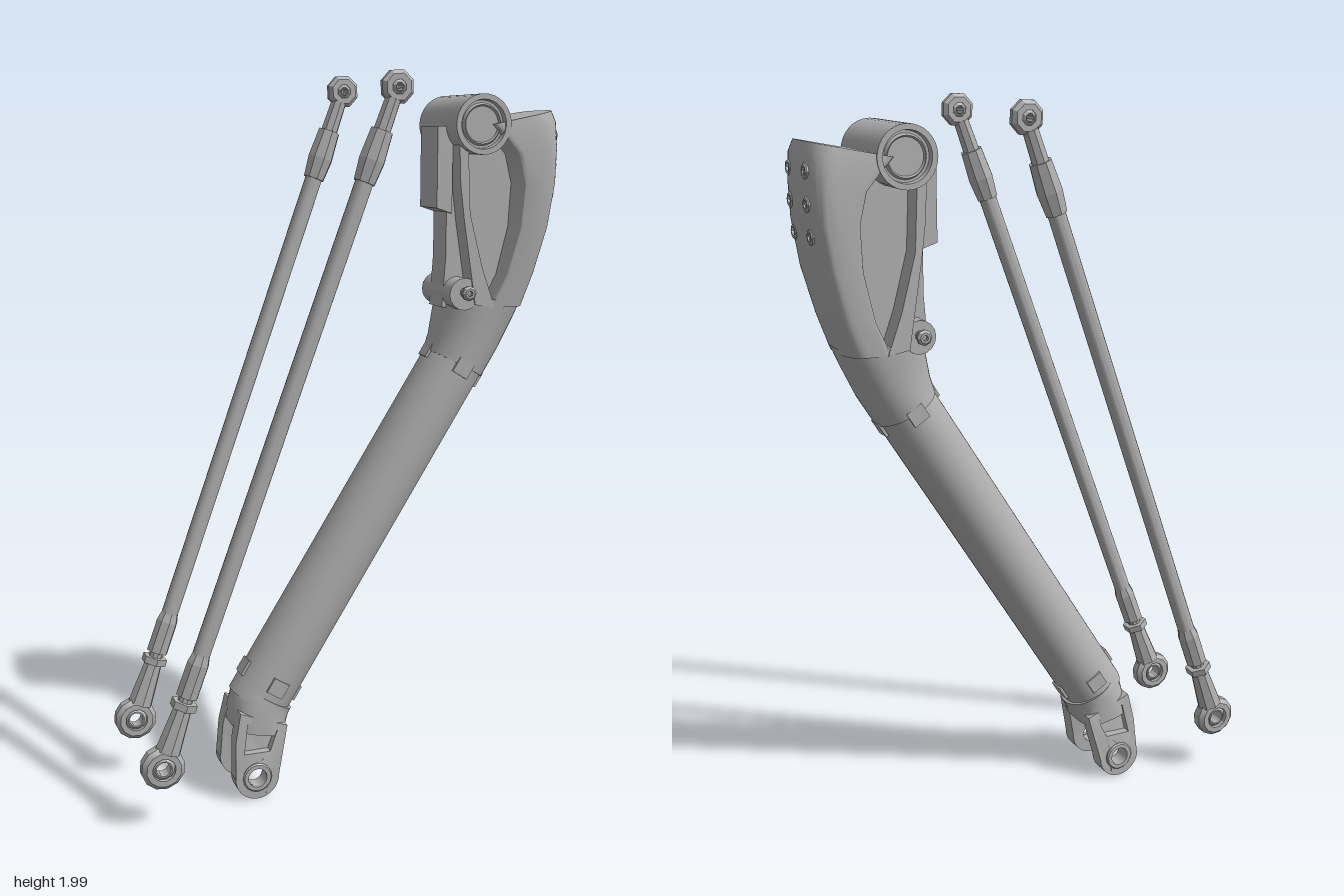
import * as THREE from 'three';
import { toCreasedNormals } from 'three/addons/utils/BufferGeometryUtils.js';

const grey = new THREE.MeshStandardMaterial({ color: 0xb0b0b0 });
grey.name = 'machined grey';

function add(parent, name, geo, x = 0, y = 0, z = 0) {
  const mesh = new THREE.Mesh(toCreasedNormals(geo, 0.5), grey);
  mesh.name = name;
  mesh.position.set(x, y, z);
  parent.add(mesh);
  return mesh;
}

// Closed solid through sections [Lx, Ly, Rx, Ry, halfWidth, leftPower, rightPower]
function loft(sections, n = 40) {
  const pos = [], idx = [];
  for (const [lx, ly, rx, ry, w, eL = 1, eR = 1] of sections) {
    for (let j = 0; j < n; j++) {
      const t = (j / n) * Math.PI * 2, c = Math.cos(t), s = Math.sin(t);
      const e = c < 0 ? eL : eR;
      const u = 0.5 + 0.5 * Math.sign(c) * Math.abs(c) ** e;
      pos.push(lx + (rx - lx) * u, ly + (ry - ly) * u, w * Math.sign(s) * Math.abs(s) ** e);
    }
  }
  const m = sections.length;
  for (const k of [0, m - 1]) {
    const [lx, ly, rx, ry] = sections[k];
    pos.push((lx + rx) / 2, (ly + ry) / 2, 0);
  }
  for (let j = 0; j < n; j++) {
    const k = (j + 1) % n, top = (m - 1) * n;
    for (let i = 0; i < m - 1; i++) {
      const a = i * n + j, b = i * n + k;
      idx.push(a, a + n, b + n, a, b + n, b);
    }
    idx.push(m * n, j, k, m * n + 1, top + k, top + j);
  }
  const g = new THREE.BufferGeometry();
  g.setAttribute('position', new THREE.Float32BufferAttribute(pos, 3));
  g.setIndex(idx);
  return g;
}

const shapeOf = (pts) => new THREE.Shape(pts.map(([x, y]) => new THREE.Vector2(x, y)));

function circleHole(shape, x, y, r) {
  shape.holes.push(new THREE.Path().absarc(x, y, r, 0, Math.PI * 2, true));
}

// Plate between two z values
function plate(shape, z0, z1) {
  return new THREE.ExtrudeGeometry(shape, { depth: z1 - z0, bevelEnabled: false, curveSegments: 12 })
    .translate(0, 0, z0);
}

// Ring with its axis along z
function ring(outer, inner, thick, sides = 12) {
  const h = thick / 2, b = Math.min(0.012, h * 0.6);
  const pts = [[inner, -h], [outer - b, -h], [outer, -h + b], [outer, h - b], [outer - b, h], [inner, h], [inner, -h]];
  return new THREE.LatheGeometry(pts.map((p) => new THREE.Vector2(...p)), sides).rotateX(Math.PI / 2);
}

function makeRod(side) {
  const rod = new THREE.Group();
  rod.name = side > 0 ? 'frontRod' : 'backRod';
  const a = new THREE.Vector3(-0.565, 0.17, side * 0.18);
  const b = new THREE.Vector3(0.085, 1.952, side * 0.21);
  const dir = b.clone().sub(a), len = dir.length();
  rod.position.copy(a);
  rod.quaternion.setFromUnitVectors(new THREE.Vector3(0, 1, 0), dir.normalize());
  const bar = (name, y0, y1, r0, r1, sides) =>
    add(rod, name, new THREE.CylinderGeometry(r1, r0, y1 - y0, sides), 0, (y0 + y1) / 2, 0);
  // lower eye, its ball and threaded neck
  add(rod, 'lowerEye', ring(0.06, 0.032, 0.05, 12));
  add(rod, 'lowerBall', ring(0.036, 0.02, 0.04, 12));
  bar('lowerNeck', 0.045, 0.17, 0.036, 0.026, 8);
  bar('lockNut', 0.17, 0.19, 0.037, 0.037, 6);
  bar('thread', 0.18, 0.22, 0.02, 0.02, 10);
  bar('lowerSocket', 0.205, 0.3, 0.031, 0.031, 8);
  bar('socketTaper', 0.3, 0.33, 0.031, 0.024, 8);
  bar('rodShaft', 0.3, 1.66, 0.024, 0.024, 16);
  // upper clevis and eye
  bar('upperCollar', 1.64, 1.7, 0.03, 0.036, 8);
  bar('upperSocket', 1.7, 1.78, 0.036, 0.031, 8);
  bar('upperNeck', 1.78, 1.865, 0.024, 0.022, 8);
  add(rod, 'upperEye', ring(0.046, 0.02, 0.034, 8), 0, len, 0);
  add(rod, 'upperBall', ring(0.024, 0.01, 0.044, 8), 0, len, 0);
  return rod;
}

function makeClevis() {
  const clevis = new THREE.Group();
  clevis.name = 'lowerClevis';
  add(clevis, 'clevisSaddle', loft([
    [-0.33, 0.195, -0.185, 0.165, 0.094, 0.6, 0.6],
    [-0.33, 0.24, -0.172, 0.19, 0.094, 0.8, 0.8],
    [-0.318, 0.305, -0.16, 0.21, 0.092],
    [-0.305, 0.32, -0.152, 0.225, 0.091],
  ]));
  // prong outline: rounded foot around the pin, widening to the saddle
  const outline = () => {
    const s = new THREE.Shape();
    s.moveTo(-0.185, 0.2);
    s.lineTo(-0.32, 0.25);
    s.lineTo(-0.337, 0.17);
    s.lineTo(-0.342, 0.065);
    s.absarc(-0.28, 0.065, 0.063, Math.PI, Math.PI * 2, false);
    s.lineTo(-0.185, 0.2);
    circleHole(s, -0.28, 0.065, 0.028);
    return s;
  };
  const frame = outline();
  frame.holes.push(new THREE.Path([[-0.315, 0.135], [-0.24, 0.135], [-0.215, 0.19], [-0.3, 0.22]]
    .map((p) => new THREE.Vector2(...p))));
  for (const s of [1, -1]) {
    for (const [name, shape, z0, z1] of [['prongCore', outline(), 0.06, 0.085], ['prongFrame', frame, 0.08, 0.11]]) {
      const g = s > 0 ? plate(shape, z0, z1) : plate(shape, -z1, -z0);
      // splay: the prong leans inward towards the saddle
      const p = g.attributes.position;
      for (let i = 0; i < p.count; i++) {
        p.setZ(i, p.getZ(i) - s * 0.022 * THREE.MathUtils.smoothstep(p.getY(i), 0.08, 0.23));
      }
      g.computeVertexNormals();
      add(clevis, name, g);
    }
    add(clevis, 'pinBushing', ring(0.042, 0.027, 0.012, 16), -0.28, 0.065, s * 0.108);
  }
  return clevis;
}

function makeHead() {
  const head = new THREE.Group();
  head.name = 'upperHead';
  add(head, 'elbow', loft([
    [0.262, 1.238, 0.424, 1.153, 0.092],
    [0.275, 1.28, 0.475, 1.235, 0.094],
    [0.288, 1.34, 0.51, 1.31, 0.099, 0.9, 0.85],
    [0.30, 1.39, 0.537, 1.375, 0.104, 0.8, 0.75],
  ]));
  add(head, 'backShell', loft([
    [0.41, 1.36, 0.53, 1.36, 0.103, 0.2, 0.75],
    [0.455, 1.45, 0.562, 1.455, 0.111, 0.12, 0.7],
    [0.488, 1.58, 0.594, 1.58, 0.122, 0.12, 0.62],
    [0.495, 1.70, 0.612, 1.70, 0.129, 0.12, 0.6],
    [0.475, 1.78, 0.617, 1.80, 0.13, 0.12, 0.6],
    [0.43, 1.83, 0.615, 1.87, 0.128, 0.12, 0.6],
    [0.40, 1.86, 0.603, 1.90, 0.125, 0.12, 0.6],
  ], 48));
  // central web, side ribs and front flange
  add(head, 'centreWeb', plate(shapeOf([[0.30, 1.86], [0.30, 1.5], [0.29, 1.36], [0.4, 1.34],
    [0.5, 1.5], [0.52, 1.7], [0.48, 1.84]]), -0.045, 0.045));
  add(head, 'sideRib', plate(shapeOf([[0.31, 1.82], [0.315, 1.7], [0.328, 1.6], [0.365, 1.37], [0.425, 1.36],
    [0.385, 1.47], [0.345, 1.62], [0.335, 1.83]]), -0.105, 0.105));
  add(head, 'frontFlange', plate(shapeOf([[0.265, 1.855], [0.265, 1.635], [0.31, 1.62], [0.31, 1.855]]), -0.06, 0.06));
  // bearing housing with recessed ends
  const profile = [[0, -0.115], [0.048, -0.115], [0.052, -0.122], [0.057, -0.112], [0.064, -0.112], [0.066, -0.13], [0.081, -0.13]];
  const mirrored = profile.map(([r, h]) => [r, -h]).reverse();
  add(head, 'bearingHousing', new THREE.LatheGeometry([...profile, ...mirrored]
    .map((p) => new THREE.Vector2(...p)), 32).rotateX(Math.PI / 2), 0.37, 1.86, 0);
  // cross pin with its lugs
  add(head, 'pinLug', new THREE.CylinderGeometry(0.045, 0.045, 0.2, 16).rotateX(Math.PI / 2), 0.335, 1.4, 0);
  add(head, 'crossPin', new THREE.CylinderGeometry(0.014, 0.014, 0.25, 10).rotateX(Math.PI / 2), 0.335, 1.405, 0);
  for (const s of [1, -1]) {
    add(head, 'pinHead', ring(0.021, 0.008, 0.022, 8), 0.335, 1.405, s * 0.127);
    // screw sockets on the back of the shell
    for (const [x, y] of [[0.604, 1.67], [0.611, 1.75], [0.612, 1.83]]) {
      add(head, 'screwSocket', ring(0.021, 0.011, 0.012, 8).rotateY(Math.PI / 2), x, y, s * 0.063);
    }
  }
  return head;
}

export function createModel() {
  const model = new THREE.Group();
  model.name = 'linkArm';
  // main tube between clevis and head
  const low = new THREE.Vector3(-0.24, 0.265, 0), high = new THREE.Vector3(0.345, 1.2, 0);
  const dir = high.clone().sub(low), len = dir.length();
  const arm = new THREE.Group();
  arm.name = 'mainArm';
  arm.position.copy(low);
  arm.quaternion.setFromUnitVectors(new THREE.Vector3(0, 1, 0), dir.normalize());
  add(arm, 'mainTube', new THREE.CylinderGeometry(0.088, 0.088, len + 0.04, 36), 0, len / 2, 0);
  // interlocking tabs at both joints
  for (const y of [0.055, len - 0.01]) {
    for (let i = 0; i < 4; i++) {
      const t = (i + 0.5) * Math.PI / 2 + Math.PI / 4;
      const tab = add(arm, 'jointTab', new THREE.BoxGeometry(0.012, 0.045, 0.05),
        Math.cos(t) * 0.086, y, Math.sin(t) * 0.086);
      tab.rotation.y = -t;
    }
  }
  model.add(arm, makeClevis(), makeHead(), makeRod(1), makeRod(-1));
  return model;
}
